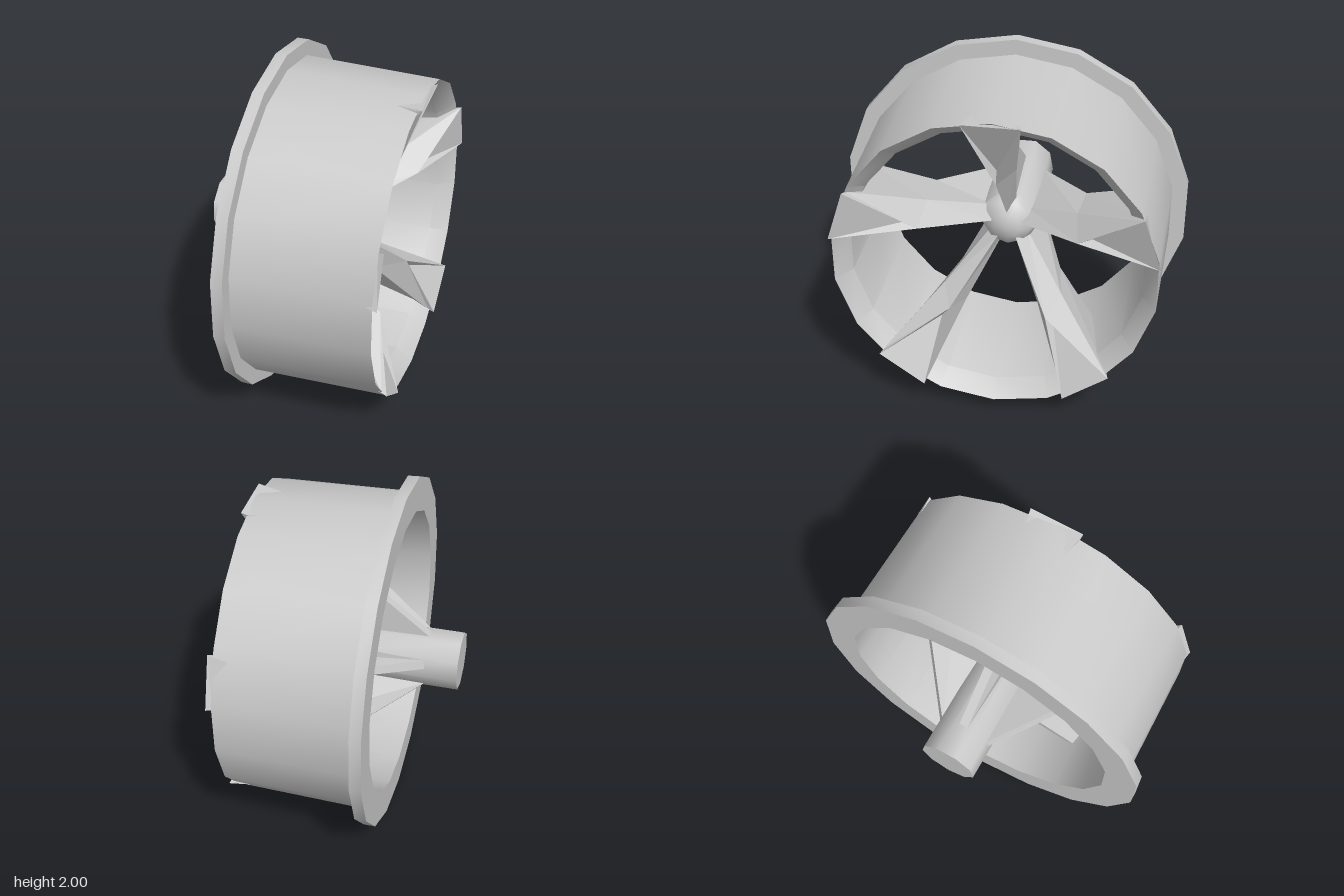
import * as THREE from 'three';
import { toCreasedNormals } from 'three/addons/utils/BufferGeometryUtils.js';

const metal = new THREE.MeshStandardMaterial({ color: 0xcacaca });
metal.name = 'grey metal';

// Revolves [radius, x] points about the wheel axis, with a vertex at the bottom
function turned(name, profile, sides) {
  const points = profile.map(([r, x]) => new THREE.Vector2(r, x));
  const lathe = new THREE.LatheGeometry(points, sides, Math.PI / 2);
  lathe.rotateZ(-Math.PI / 2);
  const mesh = new THREE.Mesh(toCreasedNormals(lathe, 0.75), metal);
  mesh.name = name;
  return mesh;
}

// One upright spoke: three cross-sections of [x, radius, half width] at front, middle and back
function spokeGeometry() {
  const sections = [
    [[0.12, 0.09, 0], [0.02, 0.12, 0.04], [-0.42, 0.15, 0.025]],
    [[0.44, 0.46, 0], [0.26, 0.46, 0.08], [-0.04, 0.46, 0.025]],
    [[0.595, 0.885, 0.155], [0.56, 0.872, 0.15], [0.03, 0.84, 0.025]],
  ];
  const rings = sections.map(([f, m, b]) => {
    const at = ([x, y, w], side) => [x, y, w * side];
    return [at(f, 1), at(f, -1), at(m, -1), at(b, -1), at(b, 1), at(m, 1)];
  });
  const pos = [];
  const tri = (a, b, c) => pos.push(...a, ...b, ...c);

  // Sides and back between the sections
  for (let s = 0; s < 2; s++) {
    const A = rings[s], B = rings[s + 1];
    for (let i = 1; i < 6; i++) {
      const j = (i + 1) % 6;
      tri(A[i], A[j], B[j]);
      tri(A[i], B[j], B[i]);
    }
  }

  // Front ridge splits in two around a sunken triangle
  const ridge = rings[1][0], sunk = [0.42, 0.54, 0];
  const [left, right] = rings[2];
  tri(ridge, right, sunk);
  tri(sunk, right, left);
  tri(ridge, sunk, left);

  // Outer end
  for (let i = 1; i < 5; i++) tri(rings[2][0], rings[2][i], rings[2][i + 1]);

  const geo = new THREE.BufferGeometry();
  geo.setAttribute('position', new THREE.Float32BufferAttribute(pos, 3));
  geo.computeVertexNormals();
  return geo;
}

export function createModel() {
  const wheel = new THREE.Group();
  wheel.name = 'wheelRim';

  // Flanged barrel with a straight bore and a bevelled front lip
  wheel.add(turned('barrel', [
    [0.81, -0.26], [1, -0.26], [1, -0.195], [0.912, -0.195],
    [0.892, 0.567], [0.81, 0.47], [0.81, -0.26],
  ], 18));

  // Hub with a domed front
  wheel.add(turned('hub', [
    [0, -0.6], [0.165, -0.6], [0.165, 0.03], [0.135, 0.085], [0.075, 0.125], [0, 0.14],
  ], 9));

  // Five spokes
  const geo = spokeGeometry();
  for (let k = 0; k < 5; k++) {
    const spoke = new THREE.Mesh(geo, metal);
    spoke.name = 'spoke' + (k + 1);
    spoke.rotation.x = (k * Math.PI * 2) / 5;
    wheel.add(spoke);
  }

  wheel.position.y = 1;
  const model = new THREE.Group();
  model.name = 'model';
  model.add(wheel);
  return model;
}
